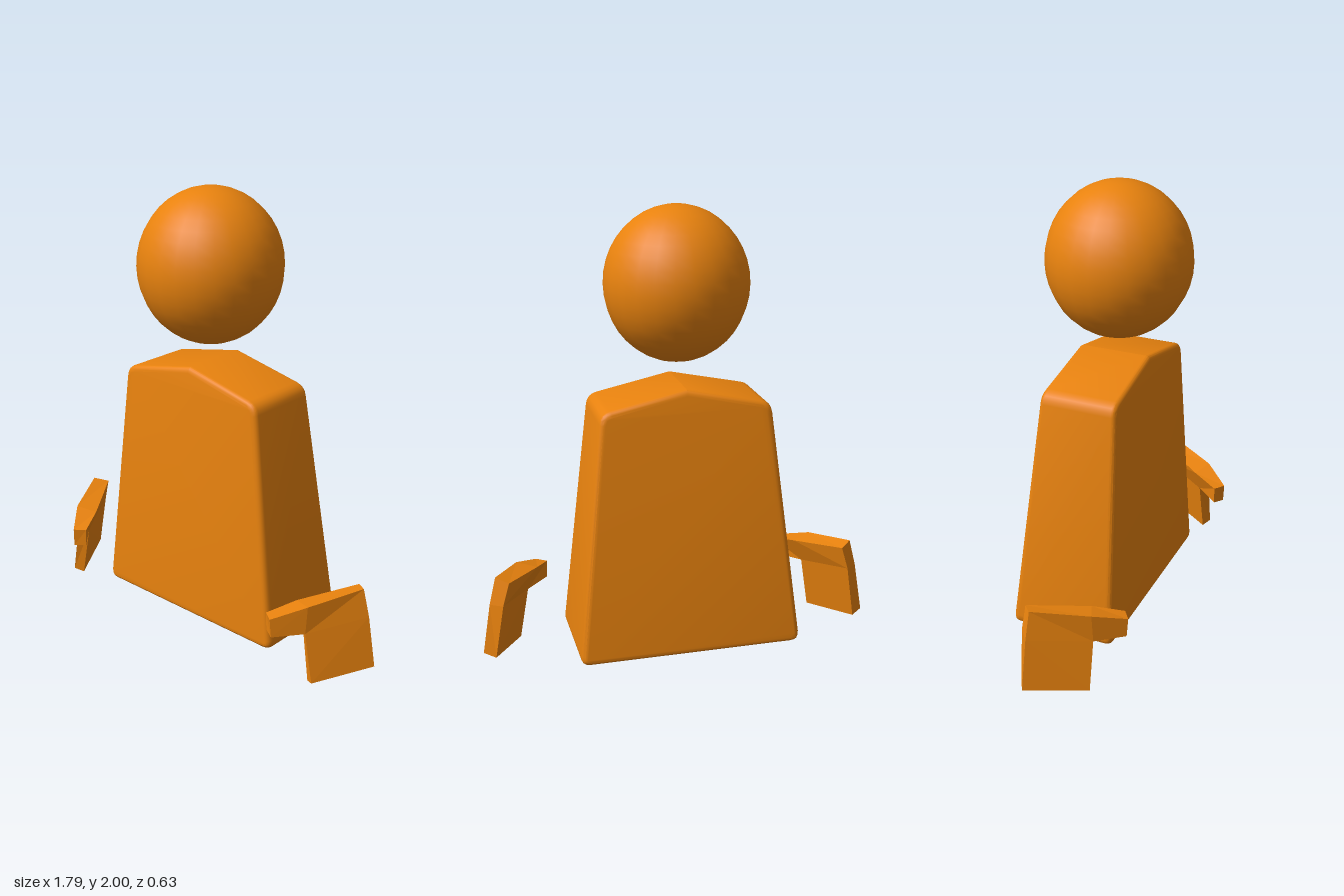
import * as THREE from 'three';
import { toCreasedNormals } from 'three/addons/utils/BufferGeometryUtils.js';

const material = new THREE.MeshStandardMaterial({ color: 0xe8820e });

function addPart(group, name, geometry) {
  const mesh = new THREE.Mesh(geometry, material);
  mesh.name = name;
  group.add(mesh);
  return mesh;
}

// Outline with softly rounded corners; each point is [x, y, radius].
function roundedShape(points) {
  const shape = new THREE.Shape();
  const n = points.length;
  points.forEach(([x, y, r], i) => {
    const p = new THREE.Vector2(x, y);
    const toward = (q) => new THREE.Vector2(q[0], q[1]).sub(p).setLength(r).add(p);
    const a = toward(points[(i + n - 1) % n]);
    const b = toward(points[(i + 1) % n]);
    if (i === 0) shape.moveTo(a.x, a.y);
    else shape.lineTo(a.x, a.y);
    if (r > 0) shape.quadraticCurveTo(x, y, b.x, b.y);
  });
  shape.closePath();
  return shape;
}

// Torso: bevelled front outline, deeper at the bottom than at the top.
function torsoGeometry() {
  const bottom = 0.06, top = 1.245, bevel = 0.025, depth = 0.35;
  const shape = roundedShape([
    [-0.502, bottom, 0.045], [0.502, bottom, 0.045], [0.375, 1.165, 0.045],
    [0, top, 0], [-0.375, 1.165, 0.045],
  ]);
  const geometry = new THREE.ExtrudeGeometry(shape, {
    depth, curveSegments: 4, bevelEnabled: true, bevelSegments: 4,
    bevelSize: bevel, bevelThickness: bevel, bevelOffset: -bevel,
  });
  const pos = geometry.attributes.position;
  for (let i = 0; i < pos.count; i++) {
    const k = (pos.getY(i) - bottom) / (top - bottom);
    const t = (pos.getZ(i) + bevel) / (depth + 2 * bevel);
    const back = THREE.MathUtils.lerp(-0.305, -0.19, k);
    const front = THREE.MathUtils.lerp(0.175, 0.145, k);
    pos.setZ(i, THREE.MathUtils.lerp(back, front, t));
  }
  return toCreasedNormals(geometry, 0.45);
}

// Hand outline: back top, front top, tip top, tip bottom, knuckle, front bottom, back bottom, back middle.
const outer = [
  [0.83, 0.41, -0.04], [0.71, 0.372, 0.185], [0.605, 0.325, 0.305], [0.61, 0.24, 0.3],
  [0.705, 0.245, 0.19], [0.745, 0.02, 0.19], [0.897, 0.055, -0.05], [0.86, 0.285, -0.045],
];
const inner = [
  [0.775, 0.395, -0.085], [0.62, 0.355, 0.145], [0.557, 0.325, 0.27], [0.56, 0.245, 0.27],
  [0.665, 0.245, 0.155], [0.705, 0.005, 0.165], [0.845, 0.04, -0.08], [0.805, 0.29, -0.09],
];

function handGeometry(side) {
  const vertices = [];
  const quad = (a, b, c, d) => {
    const corners = [a, b, c, a, c, d];
    if (side < 0) corners.reverse();
    corners.forEach(([x, y, z]) => vertices.push(side * x, y, z));
  };
  // Broad faces: upper palm, lower palm, pointing end
  for (const [a, b, c, d] of [[0, 1, 4, 7], [7, 4, 5, 6], [1, 2, 3, 4]]) {
    quad(outer[a], outer[b], outer[c], outer[d]);
    quad(inner[d], inner[c], inner[b], inner[a]);
  }
  // Narrow rim
  outer.forEach((p, i) => {
    const j = (i + 1) % outer.length;
    quad(inner[i], inner[j], outer[j], p);
  });
  const geometry = new THREE.BufferGeometry();
  geometry.setAttribute('position', new THREE.Float32BufferAttribute(vertices, 3));
  geometry.computeVertexNormals();
  return geometry;
}

export function createModel() {
  const model = new THREE.Group();
  model.name = 'floatingFigure';

  // Head: slightly tall ball hovering over the torso
  const head = addPart(model, 'head', new THREE.SphereGeometry(1, 24, 20));
  head.scale.set(0.314, 0.335, 0.314);
  head.position.y = 1.665;

  addPart(model, 'torso', torsoGeometry());
  addPart(model, 'leftHand', handGeometry(1));
  addPart(model, 'rightHand', handGeometry(-1));
  return model;
}
